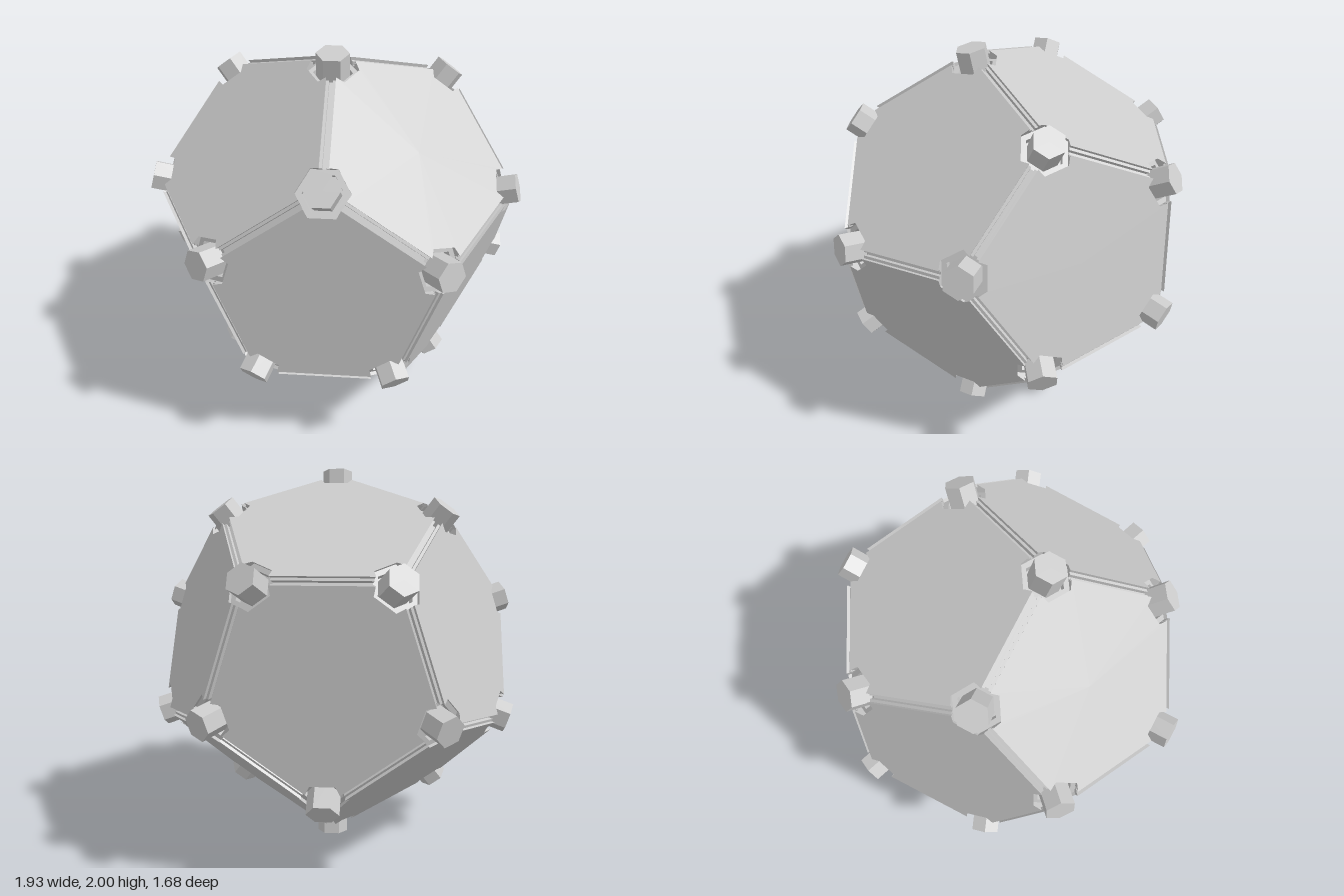
import * as THREE from 'three';

const R = 1, FACE_R = 0.7947, APOTHEM = 0.1075, GAP = 0.027;
const rad = THREE.MathUtils.degToRad;
const material = new THREE.MeshStandardMaterial({ color: 0xcccccc, flatShading: true });

// Ring of five unit directions around z, plus their opposites
function ring(z, startDeg) {
  const out = [], rho = Math.sqrt(1 - z * z);
  for (let k = 0; k < 5; k++) {
    const a = rad(startDeg + 72 * k);
    const v = new THREE.Vector3(rho * Math.cos(a), rho * Math.sin(a), z);
    out.push(v, v.clone().negate());
  }
  return out;
}

// Pentagonal panel: edges inset, corners cut by hexagonal pockets
function panelGeometry(normal, corners) {
  const centre = normal.clone().multiplyScalar(FACE_R * R);
  const x = corners[0].clone().sub(centre).normalize();
  const y = normal.clone().cross(x);
  const angle = (v) => Math.atan2(v.dot(y), v.dot(x));
  corners.sort((p, q) => angle(p) - angle(q));

  const inner = [1.258 * APOTHEM, 0.577 * APOTHEM];
  const rim = [0.629 * APOTHEM, 0.866 * APOTHEM];
  const t = GAP / (0.679 * APOTHEM);
  const start = rim.map((c, i) => c + t * (inner[i] - c));

  const top = [], low = [];
  for (const v of corners) {
    const inward = centre.clone().sub(v).normalize();
    const side = normal.clone().cross(inward).negate();
    const outline = [[start[0], -start[1]], [inner[0], -inner[1]], inner, start];
    for (const [u, s] of outline) {
      const p = v.clone().addScaledVector(inward, u).addScaledVector(side, s);
      top.push(p);
      low.push(p.clone().addScaledVector(v, -0.15 / R));
    }
  }
  const pos = [];
  const tri = (...pts) => pts.forEach((p) => pos.push(p.x, p.y, p.z));
  for (let i = 0; i < top.length; i++) {
    const j = (i + 1) % top.length;
    tri(centre, top[i], top[j]);
    tri(top[i], low[i], low[j]);
    tri(top[i], low[j], top[j]);
  }
  const g = new THREE.BufferGeometry();
  g.setAttribute('position', new THREE.Float32BufferAttribute(pos, 3));
  g.computeVertexNormals();
  return g;
}

// Grooved strip lying in the seam between two panels, ends slanted to the pockets
function seamGeometry(length) {
  const w = 0.0235, s = 0.009, floor = -0.03, slit = -0.05, base = -0.13;
  const shape = new THREE.Shape([
    [-w, base], [w, base], [w, floor], [s, floor],
    [s, slit], [-s, slit], [-s, floor], [-w, floor],
  ].map(([a, b]) => new THREE.Vector2(a, b)));
  const slant = rad(20.905);
  const depth = length - 2 * APOTHEM / Math.cos(slant);
  const g = new THREE.ExtrudeGeometry(shape, { depth, bevelEnabled: false });
  g.translate(0, 0, -depth / 2);
  const p = g.attributes.position;
  for (let i = 0; i < p.count; i++) {
    p.setZ(i, p.getZ(i) + Math.sign(p.getZ(i)) * p.getY(i) * Math.tan(slant));
  }
  g.computeVertexNormals();
  return g;
}

export function createModel() {
  const model = new THREE.Group();
  model.name = 'panelledDodecahedron';
  const body = new THREE.Group();
  body.name = 'body';
  body.position.y = 1;
  model.add(body);
  const add = (geometry, name, parent = body) => {
    const mesh = new THREE.Mesh(geometry, material);
    mesh.name = name;
    parent.add(mesh);
    return mesh;
  };

  const vertices = [...ring(0.7947, 90), ...ring(0.1876, 90)].map((v) => v.multiplyScalar(R));
  const normals = [new THREE.Vector3(0, 0, 1), new THREE.Vector3(0, 0, -1), ...ring(0.4472, 126)];

  // Twelve panels
  for (const n of normals) {
    add(panelGeometry(n, vertices.filter((v) => v.dot(n) > 0.78 * R)), 'panel');
  }

  // Thirty seams
  const edge = 0.7136 * R;
  const seam = seamGeometry(edge);
  const near = (a, b) => a !== b && a.distanceTo(b) < edge * 1.1;
  vertices.forEach((a, i) => vertices.slice(i + 1).filter((b) => near(a, b)).forEach((b) => {
    const middle = a.clone().add(b).multiplyScalar(0.5);
    const up = middle.clone().normalize();
    const along = b.clone().sub(a).normalize();
    const mesh = add(seam, 'seam');
    mesh.quaternion.setFromRotationMatrix(
      new THREE.Matrix4().makeBasis(up.clone().cross(along), up, along));
    mesh.position.copy(middle);
  }));

  // Twenty corners: stepped hexagonal socket with a hexagonal bolt
  const socket = new THREE.LatheGeometry([
    [0.1245, -0.1], [0.095, -0.1], [0.095, -0.14], [0.06, -0.14],
  ].map(([r, y]) => new THREE.Vector2(r, R + y)), 6);
  const bolt = new THREE.CylinderGeometry(0.08, 0.08, 0.165, 6).translate(0, R + 0.005 - 0.0825, 0);
  for (const v of vertices) {
    const up = v.clone().normalize();
    const x = vertices.find((o) => near(v, o)).clone().projectOnPlane(up).normalize();
    const corner = new THREE.Group();
    corner.name = 'corner';
    corner.quaternion.setFromRotationMatrix(
      new THREE.Matrix4().makeBasis(x, up, x.clone().cross(up)));
    add(socket, 'socket', corner);
    add(bolt, 'bolt', corner);
    body.add(corner);
  }
  return model;
}
